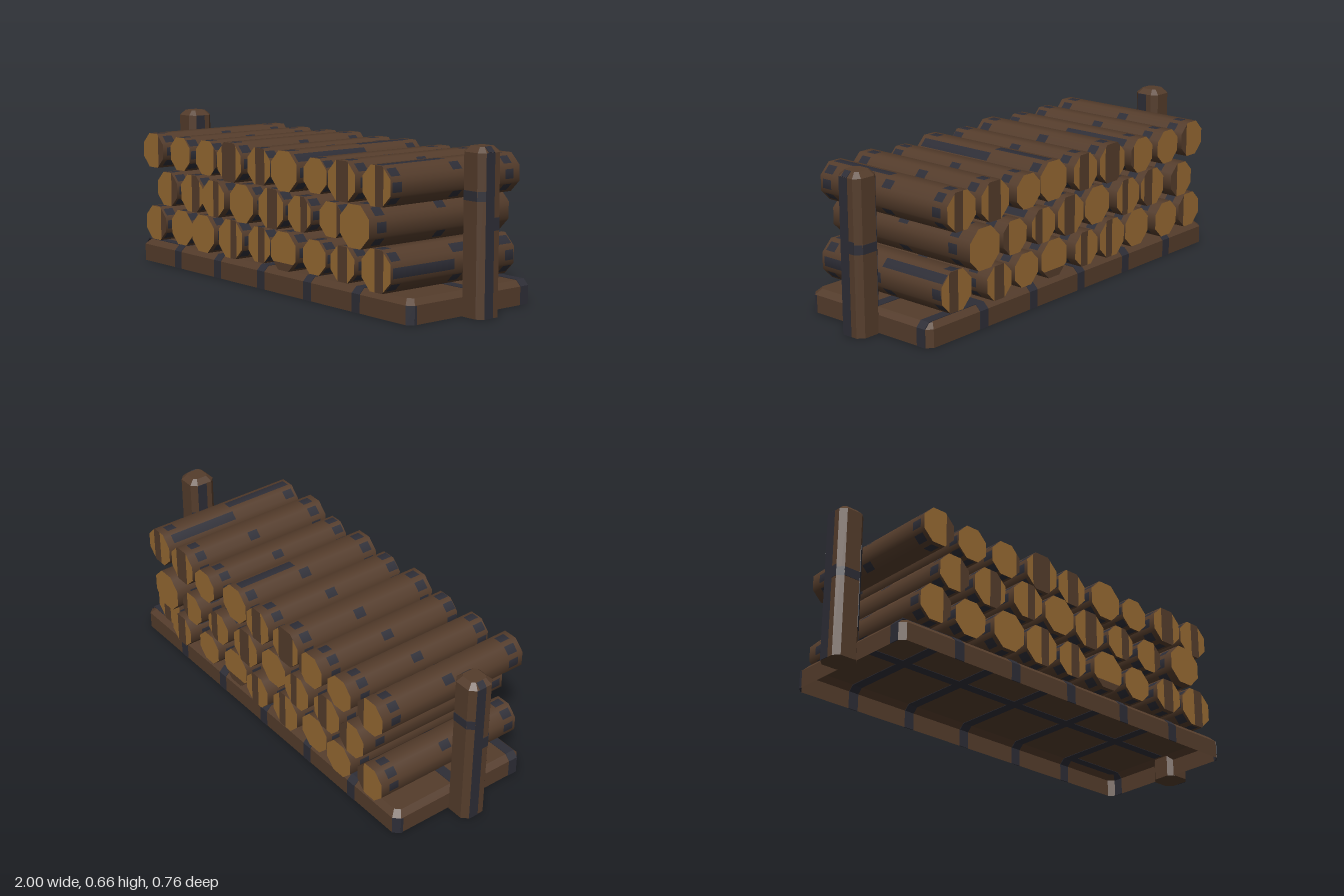
import * as THREE from 'three';

const mat = (name, color) => Object.assign(new THREE.MeshStandardMaterial({ color, side: THREE.DoubleSide }), { name });

export function createModel() {
  const M = {
    wood: mat('brown bark', 0x543c2b),
    dark: mat('slate markings', 0x2d2d36),
    cut: mat('tan cut wood', 0x966932),
  };
  const root = new THREE.Group();
  root.name = 'logRack';

  const add = (parent, name, geo, material, x = 0, y = 0, z = 0) => {
    const m = new THREE.Mesh(geo, material);
    m.name = name;
    m.position.set(x, y, z);
    parent.add(m);
    return m;
  };
  // plate given by its min and max on each axis
  const plate = (parent, name, [x0, x1], [y0, y1], [z0, z1]) =>
    add(parent, name, new THREE.BoxGeometry(x1 - x0, y1 - y0, z1 - z0), M.dark,
      (x0 + x1) / 2, (y0 + y1) / 2, (z0 + z1) / 2);
  const extrude = (points, depth) => new THREE.ExtrudeGeometry(
    new THREE.Shape(points.map((p) => new THREE.Vector2(...p))), { depth, bevelEnabled: false });

  // stacked rectangles with cut corners: [y, halfX, halfZ, corner], open below if asked
  const loft = (levels, openBelow) => {
    const rings = levels.map(([y, a, b, c]) =>
      [[a, b - c], [a, c - b], [a - c, -b], [c - a, -b], [-a, c - b], [-a, b - c], [c - a, b], [a - c, b]]
        .map(([x, z]) => [x, y, z]));
    const pos = [];
    const tri = (...p) => p.forEach((v) => pos.push(...v));
    for (let r = 0; r + 1 < rings.length; r++) {
      for (let k = 0; k < 8; k++) {
        const n = (k + 1) % 8, lo = rings[r], hi = rings[r + 1];
        tri(lo[k], lo[n], hi[n]);
        tri(lo[k], hi[n], hi[k]);
      }
    }
    const bottom = rings[0], top = rings[rings.length - 1];
    for (let k = 1; k < 7; k++) {
      tri(top[0], top[k], top[k + 1]);
      if (!openBelow) tri(bottom[0], bottom[k + 1], bottom[k]);
    }
    const g = new THREE.BufferGeometry();
    g.setAttribute('position', new THREE.Float32BufferAttribute(pos, 3));
    g.computeVertexNormals();
    return g;
  };

  // base tray, hollow underneath
  const base = new THREE.Group();
  base.name = 'base';
  root.add(base);
  add(base, 'tray', loft([[0, 0.9, 0.33, 0.025], [0.075, 0.9, 0.33, 0.025], [0.098, 0.877, 0.307, 0.02]], true), M.wood);

  // dark bands following the tray wall inside and out
  const e = 0.002;
  const half = (d) => [[0.33 + d, 0], [0.33 + d, 0.075 + d / 2], [0.307 + d / 2, 0.098 + d]];
  const whole = (d) => [...half(d), ...half(d).reverse().map(([z, y]) => [-z, y])];
  const bandGeo = extrude([...whole(e), ...whole(-e).reverse()], 0.046);
  [-0.615, -0.32, -0.015, 0.29, 0.59].forEach((x) => {
    add(base, 'trayBand', bandGeo, M.dark, x - 0.023).rotation.y = Math.PI / 2;
  });
  plate(base, 'middleSeam', [-0.87, 0.87], [0.098 - e, 0.098 + e], [-0.03, 0.015]);
  const endGeo = extrude([[0.9 + e, 0], [0.9 + e, 0.076], [0.878, 0.098 + e], [0.6, 0.098 + e],
    [0.6, 0.098 - e], [0.876, 0.098 - e], [0.9 - e, 0.074], [0.9 - e, 0]], 0.042);
  [-1, 1].forEach((s) => {
    const end = new THREE.Group();
    end.name = 'trayEnd';
    end.rotation.y = s > 0 ? 0 : Math.PI;
    base.add(end);
    add(end, 'endBand', endGeo, M.dark, 0, 0, -0.307);
    add(end, 'cornerBand', new THREE.BoxGeometry(0.035, 0.075, 2 * e), M.dark,
      0.8875, 0.0375, 0.3175).rotation.y = Math.PI / 4;
    plate(end, 'cornerPatch', [0.9 - e, 0.9 + e], [0, 0.074], [0.295, 0.306]);
  });

  // end posts, the second turned half round
  [0, Math.PI].forEach((turn) => {
    const post = new THREE.Group();
    post.name = turn ? 'rightPost' : 'leftPost';
    post.rotation.y = turn;
    const body = new THREE.Group();
    body.position.x = 0.94;
    post.add(body);
    add(body, 'postBody', loft([[0, 0.06, 0.06, 0.024], [0.64, 0.06, 0.06, 0.024], [0.662, 0.037, 0.037, 0.012]]), M.wood);
    plate(body, 'outerStripe', [0.058, 0.062], [0, 0.64], [-0.008, 0.036]);
    plate(body, 'outerPatch', [0.058, 0.062], [0.34, 0.39], [-0.036, -0.008]);
    plate(body, 'innerStripe', [-0.062, -0.058], [0.1, 0.64], [-0.036, 0.01]);
    plate(body, 'frontPatch', [-0.036, 0.036], [0.455, 0.493], [0.058, 0.062]);
    plate(body, 'backPatch', [-0.036, 0.036], [0.34, 0.378], [-0.062, -0.058]);
    add(body, 'topEdgePatch', new THREE.BoxGeometry(0.031, 0.004, 0.032), M.dark,
      0.0485, 0.651, 0.008).rotation.z = -Math.PI / 4;
    const strip = (name, sx, sz, y, h) => {
      add(body, name, new THREE.BoxGeometry(0.033, h, 0.004), M.dark,
        sx * 0.048, y, sz * 0.048).rotation.y = sx * sz * Math.PI / 4;
    };
    strip('innerEdgeStripe', -1, -1, 0.32, 0.36);
    strip('frontEdgePatch', 1, 1, 0.474, 0.038);
    strip('backEdgePatch', 1, -1, 0.359, 0.038);
    root.add(post);
  });

  // eight-sided log section with flat sides, three strips to a side, unit half width
  const T = Math.tan(Math.PI / 8);
  const N = 24;
  const rim = Array.from({ length: N + 1 }, (_, k) => {
    const a = Math.floor(k / 3) * Math.PI / 4, t = [-1, -0.6, 0.6][k % 3] * T;
    return [Math.cos(a) - t * Math.sin(a), Math.sin(a) + t * Math.cos(a)];
  });
  const halfHeight = (x) => Math.min(1, 1 + T - Math.abs(x));

  const makeLog = (x, y, r, back, front, stripe, seam) => {
    const log = new THREE.Group();
    log.name = 'log';
    log.position.set(x, y, 0);
    const bins = {};
    const quad = (key, pts, normals) => {
      const b = (bins[key] ??= { p: [], n: [] });
      [0, 1, 2, 0, 2, 3].forEach((i) => { b.p.push(...pts[i]); b.n.push(...normals[i]); });
    };
    // bark, with a mark on each side near the ends and some long seams
    const zs = [back, -0.31, -0.265, -0.035, 0.015, 0.29, 0.338, front];
    for (let j = 0; j < 7; j++) {
      for (let k = 0; k < N; k++) {
        const side = Math.floor(k / 3);
        const ring = j === 1 || j === 5 || (j === 3 && side % 2 === 1);
        const long = (j === 4 && side === seam) || (j === 2 && side === (seam + 1) % 8);
        const marked = k % 3 === 1 && (ring || (seam >= 0 && long));
        const [a, b] = [rim[k], rim[k + 1]];
        const at = (p, z) => [p[0] * r, p[1] * r, z];
        const nm = (p) => { const l = Math.hypot(...p); return [p[0] / l, p[1] / l, 0]; };
        quad(marked ? 'dark' : 'wood', [at(a, zs[j]), at(b, zs[j]), at(b, zs[j + 1]), at(a, zs[j + 1])],
          [nm(a), nm(b), nm(b), nm(a)]);
      }
    }
    // cut ends, split into columns so a bark stripe can cross them; 'low' lays it along the bottom
    const [from, to, low] = stripe || [2, 2];
    const cols = [...new Set([-1, -T, T, 1, from, to])].filter((c) => c <= 1).sort((a, b) => a - b);
    for (let i = 0; i + 1 < cols.length; i++) {
      const [a, b] = [cols[i], cols[i + 1]];
      const key = a >= from && b <= to ? 'wood' : 'cut';
      const corners = (z) => [[a, -halfHeight(a)], [b, -halfHeight(b)], [b, halfHeight(b)], [a, halfHeight(a)]]
        .map(([u, v]) => (low ? [v * r, -u * r, z] : [u * r, v * r, z]));
      quad(key, corners(front), Array(4).fill([0, 0, 1]));
      quad(key, corners(back).reverse(), Array(4).fill([0, 0, -1]));
    }
    const names = { wood: 'logBark', dark: 'logMarks', cut: 'logEnds' };
    for (const key in bins) {
      const g = new THREE.BufferGeometry();
      g.setAttribute('position', new THREE.Float32BufferAttribute(bins[key].p, 3));
      g.setAttribute('normal', new THREE.Float32BufferAttribute(bins[key].n, 3));
      add(log, names[key], g, M[key]);
    }
    root.add(log);
  };

  // three rows: height, first x, half widths, back and front ends, stripes on the ends
  const rows = [
    { y: 0.188, x: -0.755, r: [75, 76, 80, 82, 74, 80, 70, 71, 84],
      back: [35, 36, 34, 35, 36, 34, 35, 37, 31.5], front: [35, 34, 36, 35, 34, 36, 35, 36, 35],
      stripe: [[0.5, 1], 0, 0, [0, 0.5], [-0.1, 0.5], [0.6, 1, 'low'], 0, [-0.4, 0.4], [-0.1, 0.5]] },
    { y: 0.351, x: -0.663, r: [74, 80, 77, 80, 82, 72, 70, 85],
      back: [37, 35, 36, 34, 35, 36, 37, 37.8], front: [35, 35, 37, 36, 35, 35, 34, 37.8],
      stripe: [[0.4, 1], [0, 0.7], [0, 0.5], 0, [-0.3, 0.5], [0.1, 0.7], [0.5, 1], 0] },
    { y: 0.515, x: -0.755, r: [75, 72, 74, 83, 76, 82, 70, 80, 79],
      back: [35.5, 36, 36, 34.5, 35, 33.5, 36, 35, 34.5], front: [36, 34.5, 34, 35.5, 34, 35.5, 34.5, 36.5, 35],
      stripe: [[0.5, 1], 0, [0.75, 1], [-0.6, 0.55], [-0.3, 0.5], 0, 0, [-0.4, 0.5], [-0.1, 0.5]] },
  ];
  rows.forEach((row, j) => row.r.forEach((r, i) => {
    makeLog(row.x + i * 0.1855, row.y, r / 1000, -row.back[i] / 100, row.front[i] / 100,
      row.stripe[i], i % 3 === 2 ? (i * 3 + j) % 8 : -1);
  }));

  return root;
}
